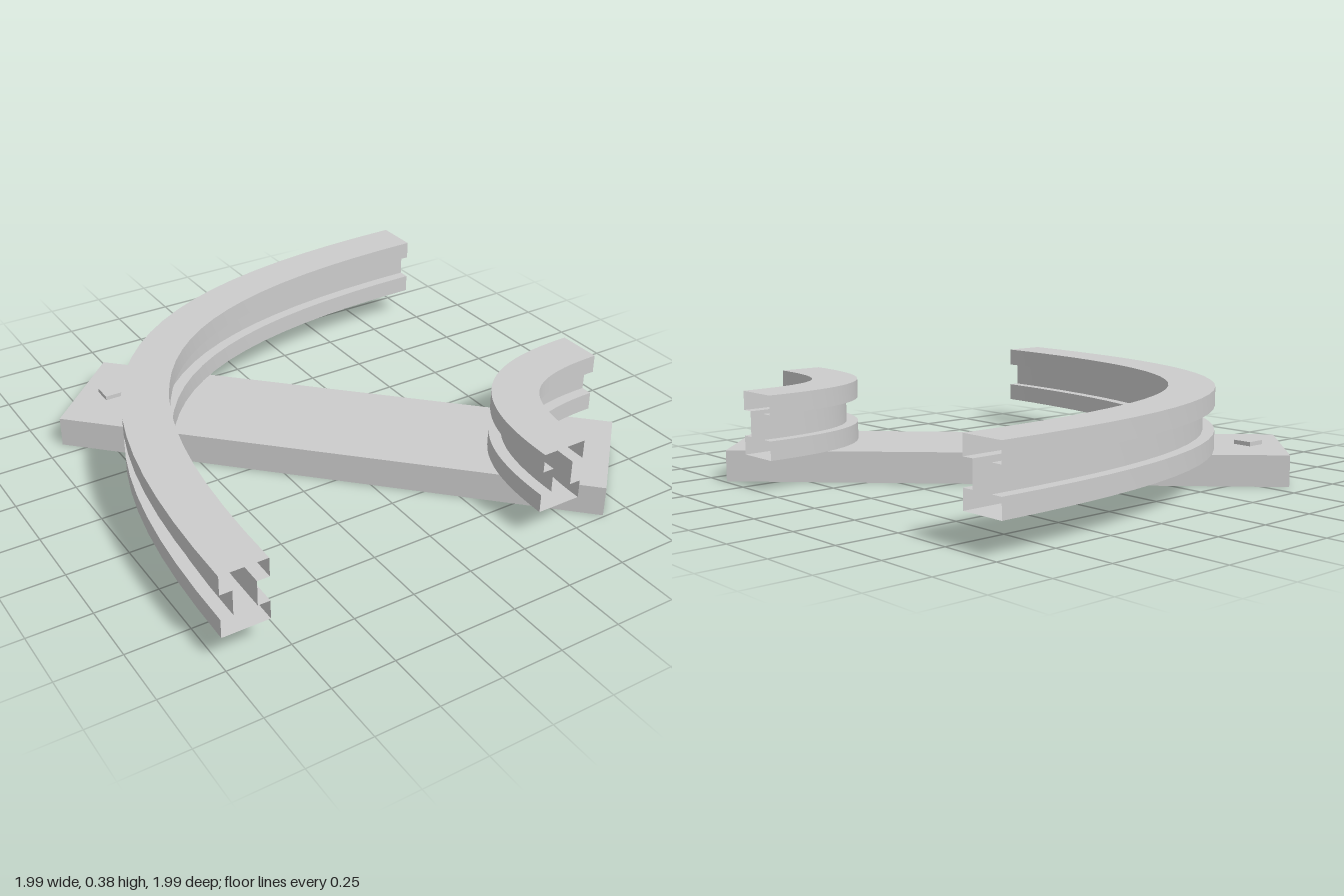
import * as THREE from 'three';

const material = new THREE.MeshStandardMaterial({ color: 0xcccccc });
const railMaterial = new THREE.MeshStandardMaterial({ color: 0xcccccc, side: THREE.DoubleSide });

// I-beam cross-section: offset to the outside of the bend, height
const F = 0.0925, W = 0.045;
const profile = [
  [-F, 0.125], [F, 0.125], [F, 0.2], [W, 0.2], [W, 0.3], [F, 0.3],
  [F, 0.375], [-F, 0.375], [-F, 0.3], [-W, 0.3], [-W, 0.2], [-F, 0.2],
];

// Open-ended rail swept round a quarter bend; each profile edge is its own smooth strip
function curvedRail(name, near, far, segments) {
  const handle = near + (far - near) * 0.26;
  const curve = new THREE.CubicBezierCurve3(
    new THREE.Vector3(near, 0, far), new THREE.Vector3(near, 0, handle),
    new THREE.Vector3(handle, 0, near), new THREE.Vector3(far, 0, near));
  const positions = [], indices = [];
  profile.forEach((start, i) => {
    const end = profile[(i + 1) % profile.length];
    const base = positions.length / 3;
    for (let j = 0; j <= segments; j++) {
      const p = curve.getPoint(j / segments), t = curve.getTangent(j / segments);
      for (const [u, y] of [start, end]) positions.push(p.x + t.z * u, y, p.z - t.x * u);
      if (j < segments) {
        const a = base + j * 2;
        indices.push(a, a + 1, a + 3, a, a + 3, a + 2);
      }
    }
  });
  const geometry = new THREE.BufferGeometry();
  geometry.setAttribute('position', new THREE.Float32BufferAttribute(positions, 3));
  geometry.setIndex(indices);
  geometry.computeVertexNormals();
  const mesh = new THREE.Mesh(geometry, railMaterial);
  mesh.name = name;
  return mesh;
}

function box(name, size, position) {
  const mesh = new THREE.Mesh(new THREE.BoxGeometry(...size), material);
  mesh.name = name;
  mesh.position.set(...position);
  return mesh;
}

export function createModel() {
  const group = new THREE.Group();
  group.name = 'curvedRailsOnBeam';

  // Diagonal base beam
  const beam = box('baseBeam', [2.213, 0.125, 0.493], [0.0325, 0.0625, 0.035]);
  beam.rotation.y = -Math.PI / 4;
  group.add(beam);

  // Small square pegs at both ends of the beam
  group.add(box('backPeg', [0.08, 0.04, 0.08], [-0.66, 0.122, -0.65]));
  group.add(box('frontPeg', [0.08, 0.04, 0.08], [0.69, 0.122, 0.705]));

  // Outer and inner rails
  group.add(curvedRail('outerRail', -0.9075, 0.978, 24));
  group.add(curvedRail('innerRail', 0.4175, 0.978, 24));
  return group;
}
